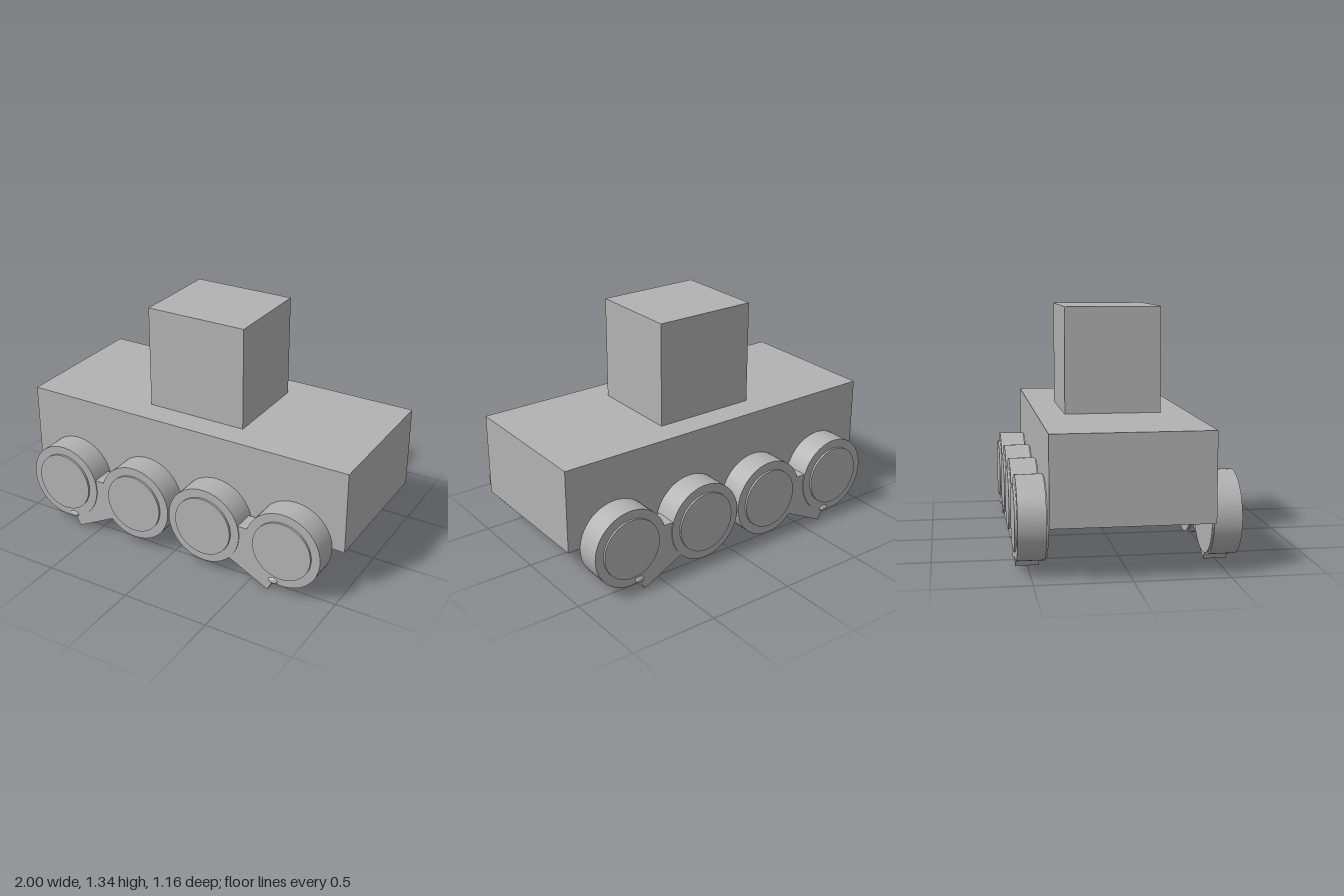
import * as THREE from 'three';

const grey = new THREE.MeshStandardMaterial({ color: 0xb2b2b2 });
grey.name = 'plain grey';

function add(parent, name, geometry, x = 0, y = 0, z = 0) {
  const mesh = new THREE.Mesh(geometry, grey);
  mesh.name = name;
  mesh.position.set(x, y, z);
  parent.add(mesh);
  return mesh;
}

// Disc whose axis runs along z, between two depths
function disc(radius, z0, z1) {
  return new THREE.CylinderGeometry(radius, radius, z1 - z0, 64)
    .rotateX(Math.PI / 2).translate(0, 0, (z0 + z1) / 2);
}

// Slanted arm linking a pair of wheels; sx mirrors it front to back
function armGeometry(sx) {
  const points = [[0.38, 0.13], [0.625, 0.005], [0.657, 0.065], [0.68, 0.28],
    [0.56, 0.345], [0.38, 0.345], [0.25, 0.28]];
  const shape = new THREE.Shape(points.map(([x, y]) => new THREE.Vector2(x * sx, y)));
  return new THREE.ExtrudeGeometry(shape, { depth: 0.125, bevelEnabled: false })
    .translate(0, 0, 0.44);
}

// Running gear for one side, built facing +z
function runningGear(name) {
  const gear = new THREE.Group();
  gear.name = name;
  for (const x of [-0.71, -0.226, 0.226, 0.71]) {
    const wheel = new THREE.Group();
    wheel.name = 'wheel';
    wheel.position.set(x, 0.282, 0);
    add(wheel, 'innerFlange', disc(0.214, 0.415, 0.435));
    add(wheel, 'tyre', disc(0.222, 0.425, 0.57));
    add(wheel, 'hub', disc(0.172, 0.565, 0.582));
    gear.add(wheel);
  }
  for (const sx of [-1, 1]) {
    add(gear, 'suspensionArm', armGeometry(sx));
    // Rounded pin head at the foot of the arm
    const pin = add(gear, 'pinHead', new THREE.SphereGeometry(0.03, 20, 12), sx * 0.66, 0.077, 0.568);
    pin.scale.set(1, 0.6, 0.4);
    // Small pointed stud under the hull
    const stud = new THREE.ConeGeometry(0.028, 0.03, 16).rotateX(Math.PI);
    add(gear, 'hullStud', stud, sx * 0.7, 0.274, 0.386);
  }
  return gear;
}

export function createModel() {
  const model = new THREE.Group();
  model.name = 'eightWheeledVehicle';
  add(model, 'hull', new THREE.BoxGeometry(2, 0.47, 0.84), 0, 0.52, 0);
  add(model, 'tower', new THREE.BoxGeometry(0.595, 0.585, 0.53), -0.002, 1.0475, 0);

  const front = runningGear('frontRunningGear');
  const back = runningGear('backRunningGear');
  back.rotation.y = Math.PI;
  model.add(front, back);
  return model;
}
